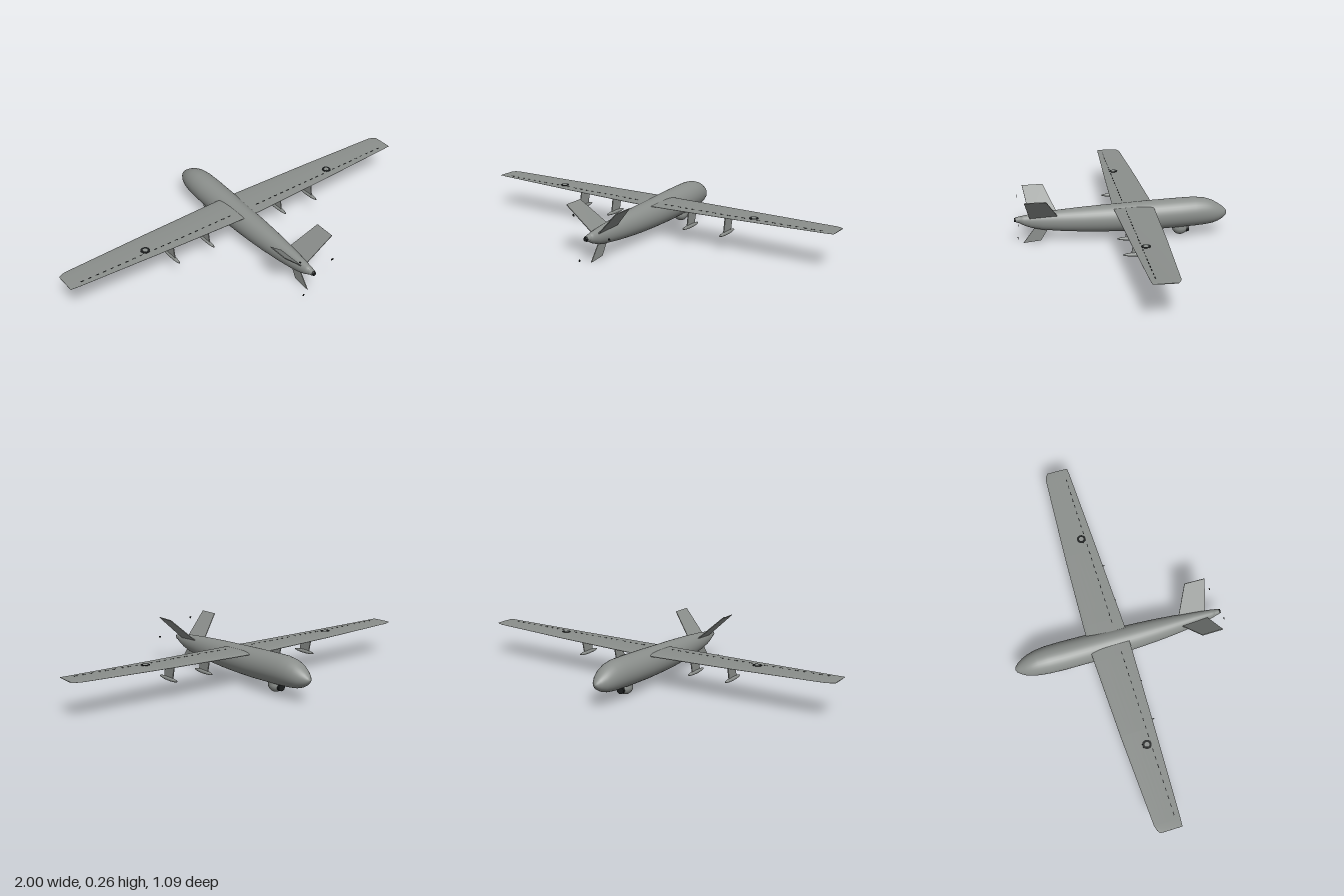
import * as THREE from 'three';
import { toCreasedNormals } from 'three/addons/utils/BufferGeometryUtils.js';

const mat = (name, color) => {
  const m = new THREE.MeshStandardMaterial({ color });
  m.name = name;
  return m;
};

// Skin over closed rings of [x, y, z] points, with fan caps at both ends
function loft(rings) {
  const n = rings[0].length, pos = rings.flat(2), idx = [];
  for (let i = 0; i < rings.length - 1; i++)
    for (let j = 0; j < n; j++) {
      const a = i * n + j, b = i * n + (j + 1) % n;
      idx.push(a, b, a + n, b, b + n, a + n);
    }
  const centre = r => [0, 1, 2].map(k => r.reduce((s, p) => s + p[k], 0) / n);
  const last = (rings.length - 1) * n, c0 = rings.length * n;
  pos.push(...centre(rings[0]), ...centre(rings[rings.length - 1]));
  for (let j = 0; j < n; j++) {
    const k = (j + 1) % n;
    idx.push(c0, k, j, c0 + 1, last + j, last + k);
  }
  const g = new THREE.BufferGeometry();
  g.setAttribute('position', new THREE.Float32BufferAttribute(pos, 3));
  g.setIndex(idx);
  g.computeVertexNormals();
  return g;
}

// Upright plate from [z, y] outline points, centred on x = 0
function plate(points, thickness) {
  const shape = new THREE.Shape(points.map(p => new THREE.Vector2(...p)));
  return new THREE.ExtrudeGeometry(shape, { depth: thickness, bevelEnabled: false })
    .translate(0, 0, -thickness / 2).rotateY(-Math.PI / 2);
}

// Wing stations: x, leading z, trailing z, mid height, thickness
const stations = [
  [0, -0.16, 0.045, 0.175, 0.025], [0.1, -0.158, 0.043, 0.175, 0.024],
  [0.5, -0.143, 0.03, 0.179, 0.016], [0.96, -0.118, 0.013, 0.186, 0.008],
  [0.985, -0.11, 0.011, 0.187, 0.007], [1, -0.1, 0.01, 0.187, 0.005],
];
const foil = u => 2.6 * (0.2969 * Math.sqrt(u) - 0.126 * u - 0.3516 * u * u + 0.2843 * u ** 3 - 0.1015 * u ** 4) * 2 + 0.06;
function wingAt(x) {
  const a = Math.abs(x);
  let i = 0;
  while (i < stations.length - 2 && stations[i + 1][0] < a) i++;
  const p = stations[i], q = stations[i + 1], t = (a - p[0]) / (q[0] - p[0]);
  return p.map((v, k) => v + (q[k] - v) * t);
}
function wingTop(x, z) {
  const [, le, te, y, t] = wingAt(x);
  return y + t * 0.5 * foil((z - le) / (te - le));
}

export function createModel() {
  const grey = mat('airframe grey', 0x8b8f8c);
  const dark = mat('dark trim', 0x1c1f1f);
  const model = new THREE.Group();
  model.name = 'aircraft';
  const add = (name, geo, material = grey, x = 0, y = 0, z = 0, parent = model) => {
    const m = new THREE.Mesh(geo, material);
    m.name = name;
    m.position.set(x, y, z);
    parent.add(m);
    return m;
  };

  // Fuselage: z, top, bottom, half width
  const body = [
    [-0.546, 0.122, 0.118, 0.002], [-0.541, 0.135, 0.106, 0.015], [-0.525, 0.151, 0.091, 0.029],
    [-0.5, 0.169, 0.077, 0.044], [-0.47, 0.187, 0.067, 0.055], [-0.43, 0.201, 0.061, 0.064],
    [-0.375, 0.207, 0.057, 0.07], [-0.3, 0.205, 0.053, 0.072], [-0.15, 0.199, 0.047, 0.071],
    [0, 0.191, 0.046, 0.066], [0.1, 0.186, 0.048, 0.062], [0.2, 0.18, 0.053, 0.056],
    [0.3, 0.173, 0.06, 0.047], [0.4, 0.164, 0.071, 0.035], [0.46, 0.156, 0.084, 0.027],
    [0.495, 0.15, 0.098, 0.022], [0.518, 0.146, 0.111, 0.017],
  ];
  add('fuselage', loft(body.map(([z, top, low, w]) => Array.from({ length: 36 }, (_, j) => {
    const t = j / 36 * Math.PI * 2;
    return [w * Math.cos(t), (top + low) / 2 + (top - low) / 2 * Math.sin(t), z];
  }))));

  // Tail hub and propeller tips
  add('tailHub', new THREE.CylinderGeometry(0.013, 0.018, 0.024, 24).rotateX(Math.PI / 2), grey, 0, 0.129, 0.525);
  add('hubCap', new THREE.CylinderGeometry(0.009, 0.012, 0.01, 24).rotateX(Math.PI / 2), dark, 0, 0.129, 0.541);
  for (let i = 0; i < 3; i++) {
    const a = (8 + i * 120) * Math.PI / 180;
    const tip = add('propellerTip', new THREE.BoxGeometry(0.011, 0.008, 0.003), dark,
      0.127 * Math.cos(a), 0.129 + 0.127 * Math.sin(a), 0.528);
    tip.rotation.z = a;
  }

  // Wing, one piece from tip to tip
  const N = 12;
  const chord = Array.from({ length: N + 1 }, (_, i) => (1 - Math.cos(i / N * Math.PI)) / 2);
  const xs = stations.map(s => s[0]);
  const section = x => {
    const [, le, te, y, t] = wingAt(x);
    const point = (u, s) => [x, y + s * t * 0.5 * foil(u), le + u * (te - le)];
    return [...chord.slice().reverse().map(u => point(u, -1)), ...chord.map(u => point(u, 1))];
  };
  const wing = loft([...xs.slice(1).reverse().map(x => -x), ...xs].map(section));
  add('wing', toCreasedNormals(wing, 0.7));

  for (const side of [-1, 1]) {
    // Hinge line dashes on the upper surface
    for (let x = 0.09; x < 0.95; x += 0.04)
      add('hingeDash', new THREE.BoxGeometry(0.017, 0.002, 0.004), dark, side * x, wingTop(x, -0.012), -0.012);

    // Round wing marking
    const x = 0.575, z = -0.032;
    const slope = (wingTop(x, z + 0.02) - wingTop(x, z - 0.02)) / 0.04;
    const mark = new THREE.Group();
    mark.name = 'wingMarking';
    mark.position.set(side * x, wingTop(x, z), z);
    mark.rotation.x = -Math.atan(slope);
    model.add(mark);
    add('markingDisc', new THREE.CylinderGeometry(0.023, 0.023, 0.003, 32), dark, 0, 0, 0, mark);
    add('markingCentre', new THREE.CylinderGeometry(0.012, 0.012, 0.004, 24), grey, 0, 0, 0, mark);

    // Underwing pylons with slim pods
    for (const px of [0.23, 0.437]) {
      add('pylon', plate([[0.015, 0.09], [0.001, 0.174], [-0.075, 0.174], [-0.056, 0.09]], 0.005), grey, side * px);
      add('pod', new THREE.SphereGeometry(1, 20, 14).scale(0.01, 0.01, 0.074), grey, side * px, 0.09, -0.02);
    }

    // Canted upper tail fins
    const fin = add('tailFin', plate([[0.33, 0.045], [0.39, 0.205], [0.497, 0.203], [0.467, 0.02]], 0.004), grey, 0, 0.12, 0);
    fin.rotation.z = -side * Math.PI / 4;
  }

  // Lower fin
  add('ventralFin', plate([[0.36, 0.1], [0.413, 0.013], [0.502, 0.003], [0.43, 0.1]], 0.004));

  // Sensor turret under the nose
  add('sensorTurret', new THREE.SphereGeometry(1, 28, 20).scale(0.038, 0.038, 0.04), grey, 0, 0.05, -0.303);
  add('sensorCollar', new THREE.CylinderGeometry(0.038, 0.038, 0.02, 28), grey, 0, 0.06, -0.303);
  add('sensorLens', new THREE.CylinderGeometry(0.02, 0.02, 0.02, 24).rotateX(Math.PI / 2), dark, 0, 0.043, -0.338);
  return model;
}
